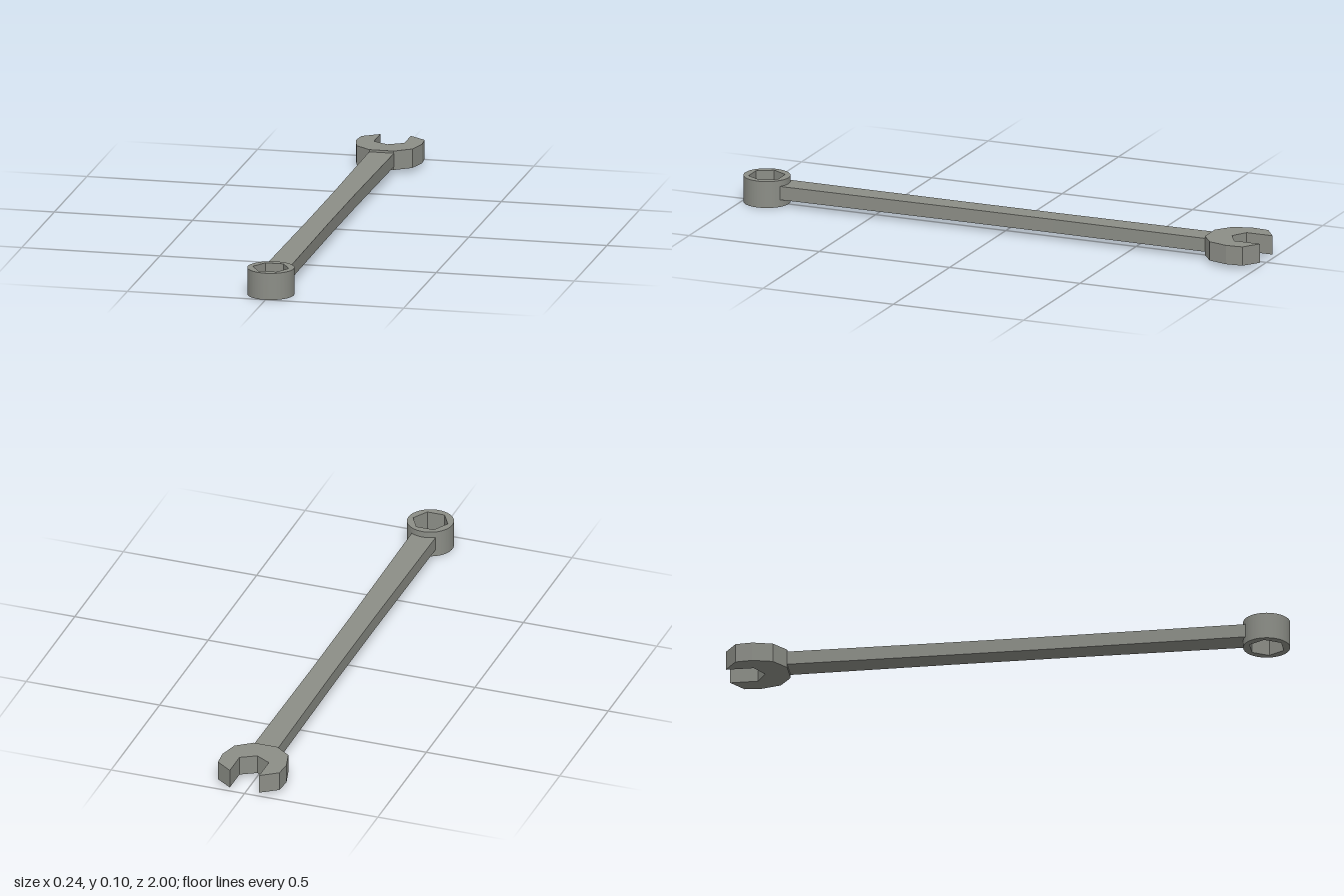
import * as THREE from 'three';
import { toCreasedNormals } from 'three/addons/utils/BufferGeometryUtils.js';

const steel = new THREE.MeshStandardMaterial({ color: 0x8c8e87 });
steel.name = 'steel grey';

// Closed plan outline mirrored in x, from [x, z] points on the +x side
function mirroredShape(half) {
  const points = half.map(([x, z]) => new THREE.Vector2(x, -z));
  const mirrored = half.filter(([x]) => x > 0).reverse().map(([x, z]) => new THREE.Vector2(-x, -z));
  return new THREE.Shape([...points, ...mirrored]);
}

// Extrude a plan shape upward between two heights
function slab(name, shape, bottom, top, crease) {
  let geometry = new THREE.ExtrudeGeometry(shape, {
    depth: top - bottom, bevelEnabled: false, curveSegments: 48,
  });
  geometry.rotateX(-Math.PI / 2);
  geometry.translate(0, bottom, 0);
  if (crease) geometry = toCreasedNormals(geometry, crease);
  const mesh = new THREE.Mesh(geometry, steel);
  mesh.name = name;
  return mesh;
}

export function createModel() {
  const group = new THREE.Group();
  group.name = 'wrench';

  // Shaft, slightly waisted in the middle
  const shaft = mirroredShape([
    [0.045, 0.85], [0.0405, 0.2], [0.0405, -0.2], [0.045, -0.79],
  ]);
  group.add(slab('shaft', shaft, 0.026, 0.075));

  // Open jaw with a V-bottomed slot
  const jaw = mirroredShape([
    [0, -0.868], [0.055, -0.9], [0.055, -1], [0.115, -0.957],
    [0.12, -0.897], [0.101, -0.826], [0.044, -0.783],
  ]);
  group.add(slab('openJaw', jaw, 0.014, 0.083));

  // Round ring with a hexagonal socket
  const centre = 0.917;
  const ring = new THREE.Shape();
  ring.absarc(0, -centre, 0.083, 0, Math.PI * 2, false);
  const hex = Array.from({ length: 6 }, (_, i) => new THREE.Vector2(
    0.065 * Math.cos(i * Math.PI / 3), -centre + 0.065 * Math.sin(i * Math.PI / 3)));
  ring.holes.push(new THREE.Path(hex));
  group.add(slab('ringEnd', ring, 0, 0.097, 0.6));

  return group;
}
